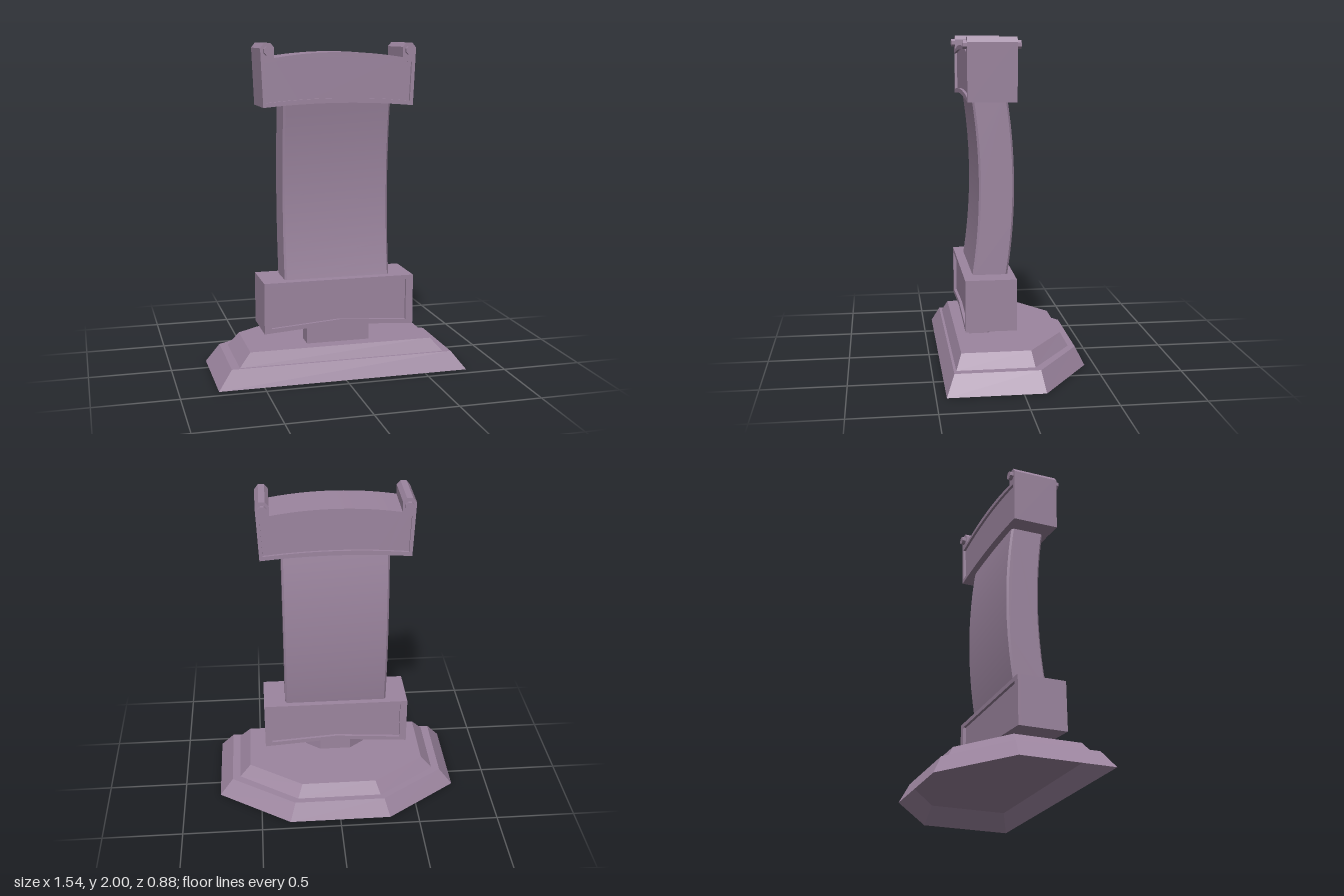
import * as THREE from 'three';
import { toCreasedNormals } from 'three/addons/utils/BufferGeometryUtils.js';

const stone = new THREE.MeshStandardMaterial({ color: 0x9c859f });
stone.name = 'mauve stone';
const shellStone = stone.clone();
shellStone.side = THREE.DoubleSide;

// Points of a shallow arch from (x0, y0) to (x1, y1); x = 0 is the crown
function arch(x0, x1, edgeX, edgeY, crownY, steps = 6) {
  return Array.from({ length: steps + 1 }, (_, i) => {
    const x = x0 + (x1 - x0) * i / steps;
    return [x, crownY + (edgeY - crownY) * (x / edgeX) ** 2];
  });
}

// Mirrors a right half, listed from bottom centre to top centre
function mirrored(half) {
  const left = half.slice(1, -1).reverse().map(([x, y]) => [-x, y]);
  return [...half, ...left].map(([x, y]) => new THREE.Vector2(x, y));
}

function add(group, name, geometry, material = stone) {
  const mesh = new THREE.Mesh(geometry, material);
  mesh.name = name;
  group.add(mesh);
  return mesh;
}

function extrude(points, z0, z1, hole) {
  const shape = new THREE.Shape(points);
  if (hole) shape.holes.push(new THREE.Path(hole));
  const g = new THREE.ExtrudeGeometry(shape, { depth: z1 - z0, bevelEnabled: false });
  g.translate(0, 0, z0);
  return toCreasedNormals(g, 0.5);
}

// Block with a sunken panel on its front and back
function panelBlock(name, outline, panel, z0, z1, recess) {
  const block = new THREE.Group();
  block.name = name;
  add(block, 'core', extrude(outline, z0 + recess, z1 - recess));
  add(block, 'frontFrame', extrude(outline, z1 - recess, z1, panel));
  add(block, 'backFrame', extrude(outline, z0, z0 + recess, panel));
  return block;
}

// Six-sided plan: straight front, cut back corners
function plan(w, front, side, backW, back) {
  return [[w, front], [w, side], [backW, back], [-backW, back], [-w, side], [-w, front]];
}

// Sloped walls between two plans with a flat lid
function tier(lower, y0, upper, y1) {
  const pos = [];
  const n = lower.length;
  const put = ([x, z], y) => pos.push(x, y, z);
  for (let i = 0; i < n; i++) {
    const j = (i + 1) % n;
    put(lower[i], y0); put(lower[j], y0); put(upper[j], y1);
    put(lower[i], y0); put(upper[j], y1); put(upper[i], y1);
    if (i > 0 && i < n - 1) {
      put(upper[0], y1); put(upper[i], y1); put(upper[i + 1], y1);
    }
  }
  const g = new THREE.BufferGeometry();
  g.setAttribute('position', new THREE.Float32BufferAttribute(pos, 3));
  g.computeVertexNormals();
  return g;
}

export function createModel() {
  const model = new THREE.Group();
  model.name = 'monument';

  // Stepped base, hollow underneath
  add(model, 'baseLowerStep', tier(
    plan(0.77, 0.44, -0.13, 0.32, -0.44), 0,
    plan(0.685, 0.39, -0.11, 0.285, -0.385), 0.11), shellStone);
  add(model, 'baseUpperStep', tier(
    plan(0.635, 0.375, -0.085, 0.265, -0.345), 0.11,
    plan(0.565, 0.34, -0.07, 0.235, -0.3), 0.19));

  const upper = new THREE.Group();
  upper.name = 'pillar';
  upper.position.x = -0.005;
  model.add(upper);

  // Neck between base and lower block
  const neck = plan(0.195, 0.26, 0.145, 0.1, 0.07);
  add(upper, 'neck', tier(neck, 0.19, neck, 0.4));

  // Lower block with peaked underside
  const lowerOutline = mirrored([[0, 0.315], [0.465, 0.282], [0.465, 0.592], [0, 0.592]]);
  const lowerPanel = mirrored([[0, 0.342], [0.42, 0.312], [0.42, 0.565], [0, 0.565]]);
  upper.add(panelBlock('lowerBlock', lowerOutline, lowerPanel, 0, 0.305, 0.018));

  // Bowed, chamfered column: side profile extruded across the width
  const chamfer = 0.012;
  const front = [], back = [];
  for (let i = 0; i <= 12; i++) {
    const y = 0.5 + 1.18 * i / 12;
    const z = 0.102 + 0.04 * ((y - 1.12) / 0.52) ** 2;
    front.push(new THREE.Vector2(z + 0.105, y));
    back.unshift(new THREE.Vector2(z - 0.105, y));
  }
  const column = new THREE.ExtrudeGeometry(new THREE.Shape([...front, ...back]), {
    depth: 0.654 - 2 * chamfer, bevelThickness: chamfer, bevelSize: chamfer,
    bevelOffset: -chamfer, bevelSegments: 1,
  });
  column.translate(0, 0, -(0.654 - 2 * chamfer) / 2);
  column.rotateY(-Math.PI / 2);
  add(upper, 'column', toCreasedNormals(column, 0.5));

  // Arched head with raised ears
  const headOutline = mirrored([
    ...arch(0, 0.455, 0.455, 1.63, 1.652),
    [0.47, 1.97], [0.447, 2], [0.41, 2], [0.388, 1.975],
    ...arch(0.388, 0, 0.388, 1.915, 1.947),
  ]);
  const headPanel = mirrored([
    ...arch(0, 0.435, 0.435, 1.657, 1.68),
    ...arch(0.445, 0, 0.445, 1.887, 1.92),
  ]);
  upper.add(panelBlock('head', headOutline, headPanel, -0.003, 0.285, 0.016));

  // Pegs through the ears
  for (const side of [-1, 1]) {
    const g = new THREE.CylinderGeometry(0.027, 0.027, 0.335, 8).toNonIndexed();
    g.rotateY(Math.PI / 8).rotateX(Math.PI / 2);
    const peg = add(upper, side > 0 ? 'leftPeg' : 'rightPeg', toCreasedNormals(g, 0.5));
    peg.position.set(side * 0.427, 1.955, 0.141);
  }

  return model;
}
